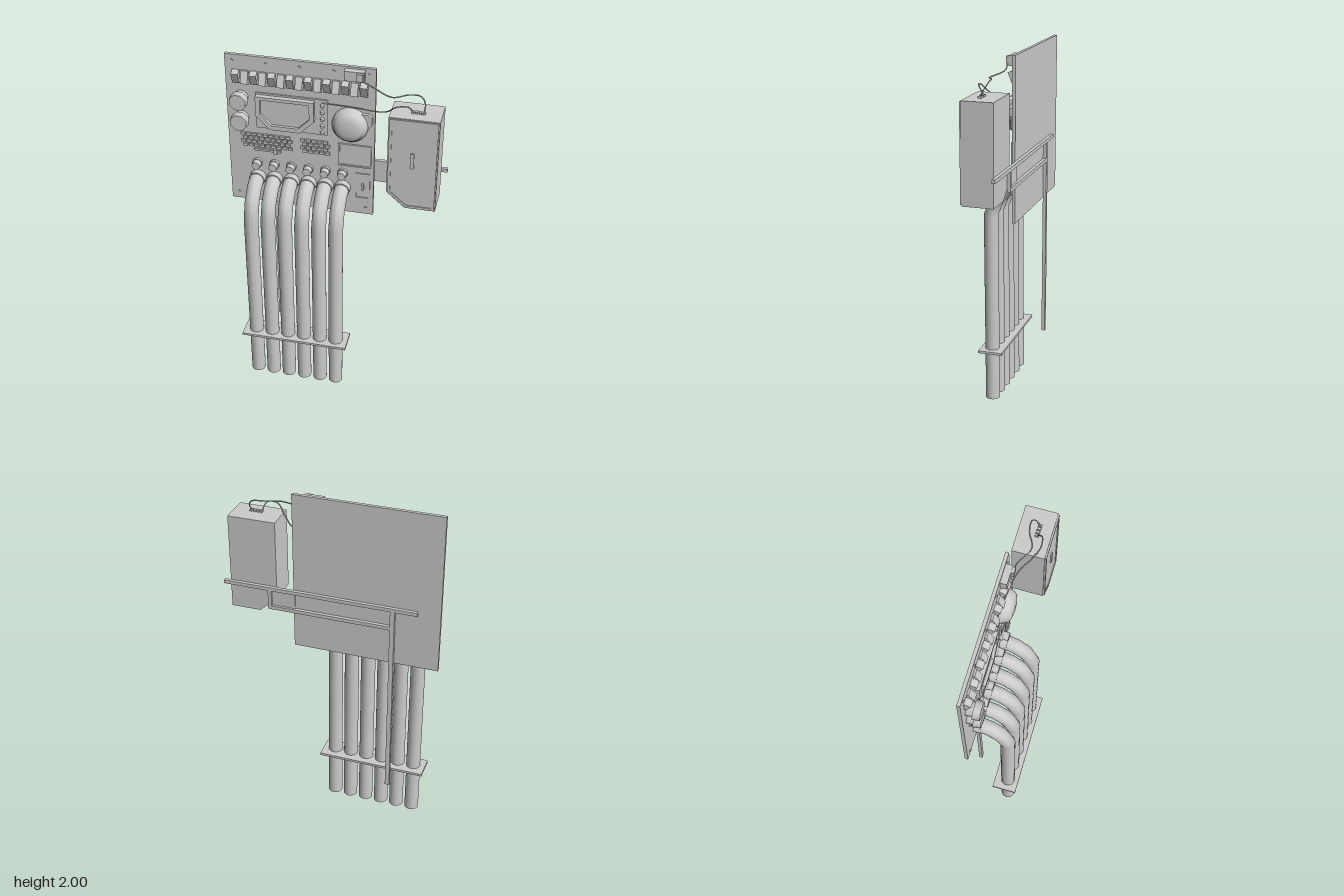
import * as THREE from 'three';

const mat = new THREE.MeshStandardMaterial({ color: 0xcccccc });
const PLATE = -0.1; // front surface of the mounting plate

export function createModel() {
  const model = new THREE.Group();
  const add = (name, geo) => {
    const m = new THREE.Mesh(geo, mat);
    m.name = name;
    model.add(m);
    return m;
  };
  // Box given by its limits
  const box = (name, x0, x1, y0, y1, z0, z1) =>
    add(name, new THREE.BoxGeometry(x1 - x0, y1 - y0, z1 - z0)
      .translate((x0 + x1) / 2, (y0 + y1) / 2, (z0 + z1) / 2));
  // Round or polygonal stud pointing to +z
  const stud = (name, x, y, r0, r1, z0, z1, sides = 24, spin = 0) =>
    add(name, new THREE.CylinderGeometry(r1, r0, z1 - z0, sides)
      .rotateY(spin).rotateX(Math.PI / 2).translate(x, y, (z0 + z1) / 2));
  const outline = (pts) => pts.map(([x, y]) => new THREE.Vector2(x, y));
  // Flat outline extruded from z0 to z1, with an optional hole
  const slab = (name, pts, z0, z1, hole) => {
    const s = new THREE.Shape(outline(pts));
    if (hole) s.holes.push(new THREE.Path(outline(hole)));
    return add(name, new THREE.ExtrudeGeometry(s, { depth: z1 - z0, bevelEnabled: false }).translate(0, 0, z0));
  };
  const rect = (x0, x1, y0, y1) => [[x0, y0], [x1, y0], [x1, y1], [x0, y1]];

  // Mounting plate and its bolts
  box('mountingPlate', -0.6, 0.2, 1.11, 2, -0.118, PLATE);
  for (const y of [1.15, 1.965])
    for (let i = 0; i < 5; i++) stud('bolt', -0.56 + i * 0.18, y, 0.008, 0.008, PLATE, -0.094, 8);

  // Rear support rails
  box('upperRail', -0.48, 0.59, 1.43, 1.45, -0.137, -0.118);
  box('lowerRail', -0.36, 0.34, 1.32, 1.34, -0.137, -0.118);
  box('railLink', 0.32, 0.34, 1.34, 1.43, -0.137, -0.118);
  box('railPost', -0.36, -0.335, 0.29, 1.43, -0.137, -0.118);
  box('railPanel', 0.19, 0.33, 1.33, 1.44, -0.124, -0.118);

  // Six bent pipes: a cylinder whose rings are moved onto a path in the yz plane
  const path = [[1.268, -0.105], [1.266, -0.06], [1.25, -0.02], [1.195, 0.035], [1.095, 0.072], [0, 0.065]];
  const last = path.length - 1;
  const pipeGeometry = () => {
    const g = new THREE.CylinderGeometry(0.04, 0.04, 1, 24, last);
    const p = g.attributes.position;
    for (let i = 0; i < p.count; i++) {
      const k = Math.round((0.5 - p.getY(i)) * last);
      const a = path[Math.max(k - 1, 0)], b = path[Math.min(k + 1, last)];
      const dy = a[0] - b[0], dz = a[1] - b[1], len = Math.hypot(dy, dz);
      const w = p.getZ(i);
      p.setXYZ(i, p.getX(i), path[k][0] - w * dz / len, path[k][1] + w * dy / len);
    }
    g.computeVertexNormals();
    return g;
  };
  for (let i = 0; i < 6; i++) {
    const x = -0.445 + i * 0.095;
    add('pipe', pipeGeometry().translate(x, 0, 0));
    stud('pipeCollar', x, 1.268, 0.044, 0.044, PLATE, -0.062);
    stud('pipeKnobBase', x, 1.36, 0.028, 0.028, PLATE, -0.085);
    stud('pipeKnob', x, 1.36, 0.024, 0.022, -0.085, -0.055);
  }
  box('pipeStrap', -0.515, 0.1, 0.292, 0.306, -0.008, 0.13);

  // Row of rocker switches, tipped alternately up and down
  for (let i = 0; i < 15; i++) {
    const x = -0.541 + i * 0.0487;
    const tip = i % 2 ? 0.012 : 0.063;
    const s = new THREE.Shape(outline([[0, 0], [0.01, 0], [0.036, tip], [0.01, 0.075], [0, 0.075]]));
    add('rockerSwitch', new THREE.ExtrudeGeometry(s, { depth: 0.038, bevelEnabled: false })
      .rotateY(-Math.PI / 2).translate(x + 0.019, 1.84, PLATE));
  }

  // Two eight-sided dials
  for (const y of [1.757, 1.635]) {
    stud('dialNeck', -0.52, y, 0.04, 0.04, PLATE, -0.065, 8, Math.PI / 8);
    stud('dialCap', -0.52, y, 0.051, 0.047, -0.065, -0.027, 8, Math.PI / 8);
  }

  // Display with a hooded frame, and indicator lamps beside it
  slab('displayBacking', rect(-0.44, -0.05, 1.585, 1.795), PLATE, -0.092);
  const hood = (x0, x1, y0, y1, c) => [[x0 + c, y0], [x1 - c, y0], [x1, y0 + c], [x1, y1], [x0, y1], [x0, y0 + c]];
  slab('displayFrame', hood(-0.435, -0.12, 1.595, 1.785, 0.075), -0.092, -0.064,
    hood(-0.41, -0.145, 1.62, 1.767, 0.06));
  slab('displayScreen', hood(-0.41, -0.145, 1.62, 1.767, 0.06), -0.092, -0.08);
  for (let i = 0; i < 5; i++) stud('indicatorLamp', -0.08, 1.6 + i * 0.04, 0.012, 0.009, -0.092, -0.078, 12);

  // Two keypads and the slots below them
  const keypad = (x0, cols) => {
    for (let r = 0; r < 4; r++)
      for (let c = 0; c < cols; c++) {
        const x = x0 + c * 0.031 + (r % 2) * 0.012, y = 1.545 - r * 0.022;
        box('key', x, x + 0.024, y - 0.016, y, PLATE, -0.089);
      }
  };
  keypad(-0.53, 9);
  keypad(-0.2, 5);
  box('keypadSlot', -0.46, -0.31, 1.438, 1.45, PLATE, -0.092);
  box('slotSlider', -0.35, -0.33, 1.43, 1.458, PLATE, -0.084);

  // Domed bell with a side lug
  const bell = [[0.096, 0], [0.096, 0.022], [0.086, 0.026], [0.08, 0.045], [0.066, 0.058], [0.04, 0.065], [0, 0.067]];
  add('bell', new THREE.LatheGeometry(outline(bell).reverse(), 40).rotateX(Math.PI / 2).translate(0.07, 1.668, PLATE))
    .material = new THREE.MeshStandardMaterial({ color: 0xcccccc, side: THREE.DoubleSide });
  slab('bellLug', [[0.1, 1.62], [0.165, 1.645], [0.188, 1.685], [0.188, 1.725], [0.165, 1.742], [0.1, 1.74]], PLATE, -0.08);

  // Framed blank panel and a small slotted panel
  slab('panelFrame', rect(0.005, 0.185, 1.41, 1.545), PLATE, -0.09, rect(0.014, 0.176, 1.419, 1.536));
  box('panelFace', 0.014, 0.176, 1.419, 1.536, PLATE, -0.095);
  slab('slotPanel', rect(0.1, 0.18, 1.21, 1.37), PLATE, -0.094, rect(0.107, 0.173, 1.217, 1.363));
  box('panelSlot', 0.135, 0.147, 1.27, 1.305, PLATE, -0.085);

  // Small junction block at the top corner
  box('junctionBlock', 0.04, 0.145, 1.935, 1.99, PLATE, -0.065);
  box('junctionPlug', 0.108, 0.14, 1.945, 1.985, -0.065, -0.05);

  // Side cabinet with a cut corner, a door and a handle
  const cabinet = (d) => [[0.395 + d * 0.4, 1.29 + d], [0.557 - d, 1.29 + d], [0.557 - d, 1.824 - d],
    [0.295 + d, 1.824 - d], [0.295 + d, 1.378 + d * 0.4]];
  slab('cabinet', cabinet(0), -0.118, 0.052);
  slab('cabinetDoorRim', cabinet(0.006), 0.052, 0.06, cabinet(0.02));
  slab('cabinetDoor', cabinet(0.02), 0.052, 0.055);
  box('doorHandle', 0.415, 0.435, 1.54, 1.63, 0.055, 0.062);
  for (let i = 0; i < 4; i++)
    box('cabinetSocket', 0.4 + i * 0.019, 0.413 + i * 0.019, 1.824, 1.834, -0.028, -0.008);

  // Loose wires to the cabinet
  const wire = (pts) => add('wire', new THREE.TubeGeometry(
    new THREE.CatmullRomCurve3(pts.map((p) => new THREE.Vector3(...p))), 60, 0.0035, 6));
  wire([[0.125, 1.955, -0.055], [0.19, 1.92, -0.06], [0.3, 1.9, -0.015], [0.38, 1.905, -0.05],
    [0.44, 1.9, -0.055], [0.464, 1.87, -0.04], [0.463, 1.83, -0.018]]);
  wire([[-0.08, 1.778, -0.09], [0.1, 1.778, -0.08], [0.22, 1.785, -0.055], [0.28, 1.82, -0.01],
    [0.33, 1.868, 0.022], [0.385, 1.872, 0.015], [0.406, 1.83, -0.018]]);
  return model;
}
